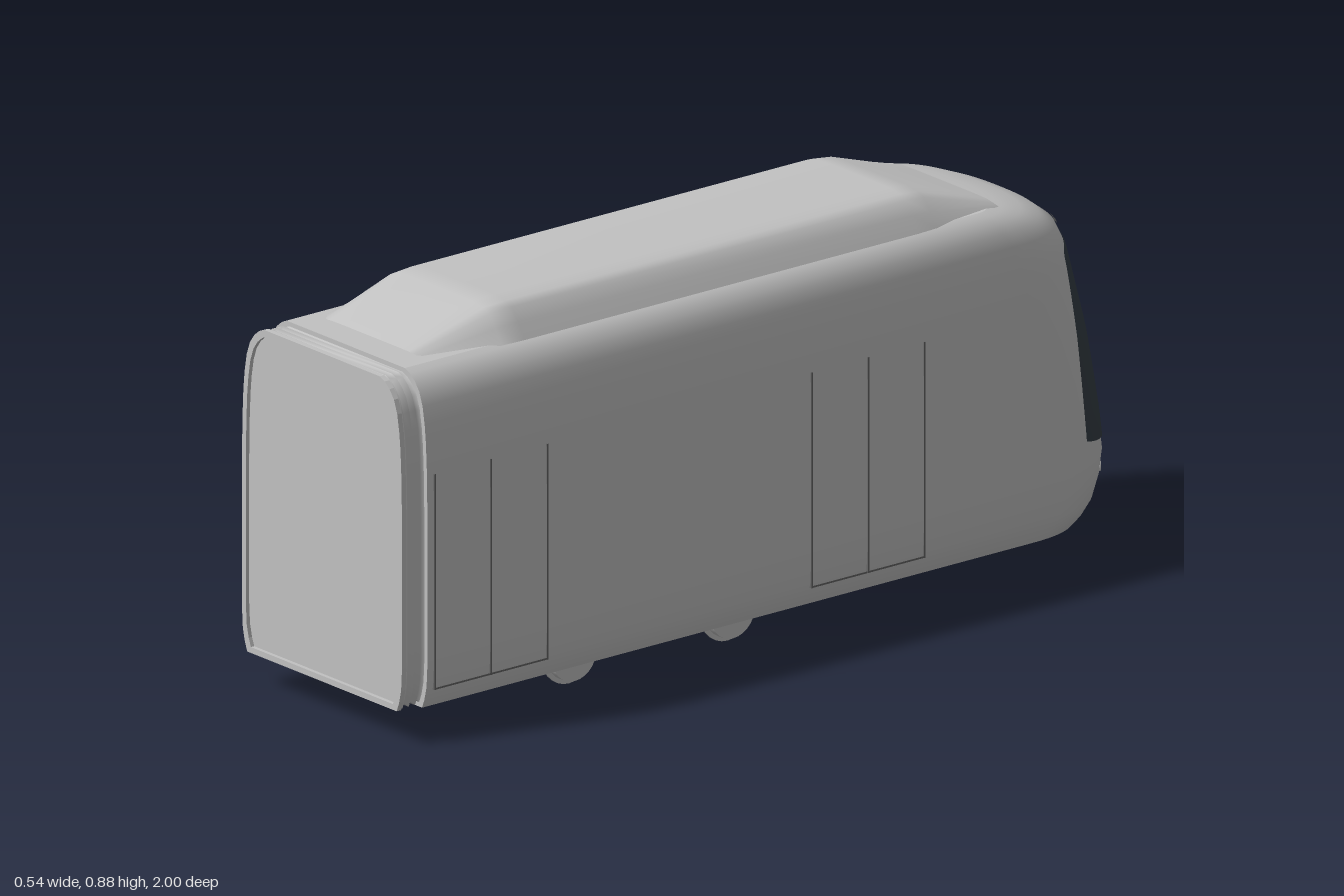
import * as THREE from 'three';

const paint = new THREE.MeshStandardMaterial({ name: 'greyPaint', color: 0xc2c2c2 });
const glass = new THREE.MeshStandardMaterial({ name: 'darkGlass', color: 0x343d44 });
const seam = new THREE.MeshStandardMaterial({ name: 'seamGrey', color: 0x666666 });

// Body levels: height, half width, nose z, nose depth
const LEVELS = [
  [0.07, 0.252, -0.935, 0.22], [0.09, 0.26, -0.955, 0.22], [0.12, 0.267, -0.975, 0.22],
  [0.17, 0.27, -0.992, 0.22], [0.22, 0.27, -1, 0.22], [0.3, 0.27, -0.99, 0.22],
  [0.4, 0.27, -0.972, 0.22], [0.5, 0.27, -0.952, 0.22], [0.6, 0.268, -0.925, 0.22],
  [0.66, 0.265, -0.91, 0.22], [0.7, 0.261, -0.9, 0.22], [0.74, 0.254, -0.88, 0.21],
  [0.77, 0.243, -0.84, 0.19], [0.79, 0.228, -0.79, 0.15], [0.803, 0.212, -0.735, 0.11],
  [0.81, 0.195, -0.69, 0.07],
];
const REAR = 0.935, POWER = 2.6;

function levelAt(y) {
  let k = 0;
  while (k < LEVELS.length - 2 && LEVELS[k + 1][0] < y) k++;
  const a = LEVELS[k], b = LEVELS[k + 1], t = (y - a[0]) / (b[0] - a[0]);
  return a.map((v, i) => v + (b[i] - v) * t);
}

// Point on the rounded nose at height y; angle runs from +x (0) to -x (PI)
function nosePoint(y, angle, out = 0) {
  const [, w, front, depth] = levelAt(y);
  const c = Math.cos(angle), s = Math.max(0, Math.sin(angle));
  const x = Math.sign(c) * Math.abs(c) ** (2 / POWER) * (w + out);
  return [x, y, front + depth - (depth + out) * s ** (2 / POWER)];
}

// Surface grid whose outside lies toward (u direction) x (v direction)
function grid(nu, nv, fn) {
  const pos = [], index = [];
  for (let j = 0; j <= nv; j++) for (let i = 0; i <= nu; i++) pos.push(...fn(i, j));
  for (let j = 0; j < nv; j++) for (let i = 0; i < nu; i++) {
    const a = j * (nu + 1) + i, b = a + 1, c = a + nu + 1, d = c + 1;
    index.push(a, b, d, a, d, c);
  }
  const g = new THREE.BufferGeometry();
  g.setAttribute('position', new THREE.Float32BufferAttribute(pos, 3));
  g.setIndex(index);
  g.computeVertexNormals();
  return g;
}

// Cross-section of the body, shrunk by an inset
function section(inset) {
  const half = LEVELS.map(([y, w]) => [w * (1 - inset / 0.27), 0.44 + (y - 0.44) * (1 - inset / 0.37)]);
  const pts = [...half, ...half.slice().reverse().map(([x, y]) => [-x, y])];
  return pts.map(([x, y]) => new THREE.Vector2(x, y));
}

export function createModel() {
  const model = new THREE.Group();
  model.name = 'tramCar';
  const add = (name, geometry, material, parent = model) => {
    const mesh = new THREE.Mesh(geometry, material);
    mesh.name = name;
    parent.add(mesh);
    return mesh;
  };

  // Shell: straight sides running into the rounded nose
  const N = 40;
  const outline = (i, y) => {
    if (i === 0 || i === N + 2) return [(i ? -1 : 1) * levelAt(y)[1], y, REAR];
    return nosePoint(y, ((i - 1) / N) * Math.PI);
  };
  add('bodyShell', grid(N + 2, LEVELS.length - 1, (i, j) => outline(i, LEVELS[j][0])), paint);

  // Flat roof, floor and rear bulkhead
  const plan = (y, sign) => new THREE.Shape(Array.from({ length: N + 3 }, (_, i) => {
    const p = outline(i, y);
    return new THREE.Vector2(p[0], sign * p[2]);
  }));
  add('roof', new THREE.ShapeGeometry(plan(0.81, -1)).rotateX(-Math.PI / 2), paint).position.y = 0.81;
  add('floor', new THREE.ShapeGeometry(plan(0.07, 1)).rotateX(Math.PI / 2), paint).position.y = 0.07;
  add('bulkhead', new THREE.ShapeGeometry(new THREE.Shape(section(0))), paint).position.z = REAR;

  // Wraparound windscreen, rounded at its upper corners
  add('windscreen', grid(36, 16, (i, j) => {
    const u = i / 18 - 1, v = j / 16;
    const top = 0.732 - 0.05 * Math.abs(u) ** 5, bottom = 0.248 + 0.02 * Math.abs(u) ** 4;
    const y = bottom + (top - bottom) * v;
    const [, , front, depth] = levelAt(y);
    const edge = -0.86 + 0.035 * v;
    const start = Math.asin(((front + depth - edge) / depth) ** (POWER / 2));
    return nosePoint(y, Math.PI / 2 + u * (Math.PI / 2 - start), 0.003);
  }), glass);

  // Slim strip above the windscreen
  add('upperStrip', grid(12, 1, (i, j) =>
    nosePoint(0.738 + j * 0.007, Math.PI / 2 + (i / 6 - 1) * 0.72, 0.004)), seam);

  // Roof fairing: z, half width, top height
  const fairing = [[-0.69, 0.18, 0.814], [-0.5, 0.205, 0.876], [-0.45, 0.208, 0.882],
    [0.62, 0.208, 0.882], [0.68, 0.205, 0.878], [0.865, 0.175, 0.812]];
  const arch = [[1, 0], [0.9, 0.45], [0.8, 0.83], [0.7, 0.94], [0.52, 1], [0, 1]];
  const archPts = [...arch, ...arch.slice(0, -1).reverse().map(([x, y]) => [-x, y])];
  add('roofFairing', grid(archPts.length - 1, fairing.length - 1, (i, j) => {
    const [z, w, top] = fairing[j], [x, y] = archPts[i];
    return [x * w, 0.806 + (top - 0.806) * y, z];
  }), paint);

  // Ribbed gangway with its end frame and panel
  const rings = Array.from({ length: 8 }, (_, j) => section(j % 2 ? 0.016 : 0.007));
  const count = rings[0].length;
  add('gangwayBellows', grid(count, 7, (i, j) => {
    const p = rings[j][i % count];
    return [p.x, p.y, 0.932 + j * 0.0085];
  }), paint);
  const frame = new THREE.Shape(section(0.005));
  frame.holes.push(new THREE.Path(section(0.018)));
  add('gangwayFrame', new THREE.ExtrudeGeometry(frame, { depth: 0.012, bevelEnabled: false }), paint)
    .position.z = 0.988;
  add('gangwayPanel', new THREE.ShapeGeometry(new THREE.Shape(section(0.014))), paint).position.z = 0.991;

  // Door seams, two double doors on each side
  for (const side of [1, -1]) for (const z of [0.762, -0.262]) {
    const door = new THREE.Group();
    door.name = side > 0 ? 'leftDoor' : 'rightDoor';
    model.add(door);
    for (const dz of [-0.153, 0, 0.153])
      add('doorSeam', new THREE.BoxGeometry(0.004, 0.48, 0.004), seam, door)
        .position.set(side * 0.269, 0.35, z + dz);
    add('doorSill', new THREE.BoxGeometry(0.006, 0.004, 0.31), seam, door).position.set(side * 0.267, 0.112, z);
  }

  // Headlamps: a large ring and a small one beside it
  for (const side of [1, -1]) for (const [x, r] of [[0.172, 0.02], [0.205, 0.008]]) {
    const y = 0.18, [, w, front, depth] = levelAt(y);
    const f = (1 - (x / w) ** POWER) ** (1 / POWER);
    const lamp = add('headlamp', new THREE.TorusGeometry(r, 0.003, 8, 24), paint);
    lamp.position.set(side * x, y, front + depth - depth * f);
    const normal = new THREE.Vector3(side * (x / w) ** 1.6 / w, 0, -(f ** 1.6) / depth);
    lamp.lookAt(normal.add(lamp.position));
  }

  // Wheelsets: axle, wheels and inner flanges
  for (const z of [0.47, 0.04]) {
    const wheelset = new THREE.Group();
    wheelset.name = 'wheelset';
    wheelset.position.set(0, 0.07, z);
    model.add(wheelset);
    const disc = (name, r, width, x) =>
      add(name, new THREE.CylinderGeometry(r, r, width, 28).rotateZ(Math.PI / 2), paint, wheelset).position.x = x;
    disc('axle', 0.006, 0.34, 0);
    for (const side of [1, -1]) {
      disc('wheel', 0.06, 0.024, side * 0.179);
      disc('wheelFlange', 0.07, 0.006, side * 0.169);
    }
  }
  return model;
}
